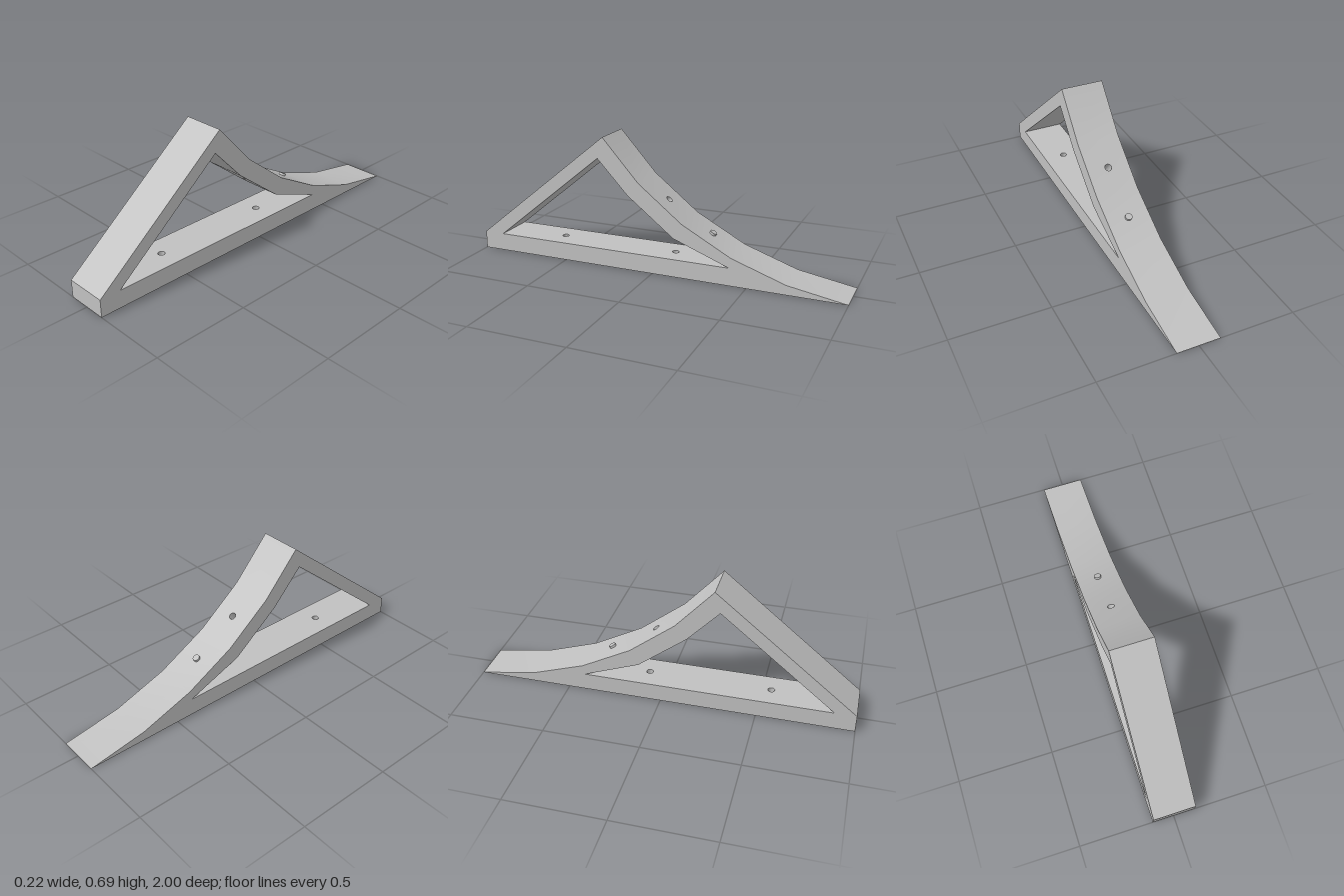
import * as THREE from 'three';
import { mergeGeometries, toCreasedNormals } from 'three/addons/utils/BufferGeometryUtils.js';

const HALF = 0.112, BORE = 0.018;

// Profile corners as [z, y]
const OUTER = [[1, 0], [1, 0.093], [0.27, 0.687], [0.075, 0.47], [-0.16, 0.285], [-0.42, 0.145], [-0.7, 0.05], [-1, 0]];
const INNER = [[0.89, 0.093], [-0.41, 0.093], [-0.115, 0.205], [0.135, 0.4], [0.3, 0.575]];

export function createModel() {
  const model = new THREE.Group();
  const grey = new THREE.MeshStandardMaterial({ color: 0xc0c0c0 });
  grey.name = 'plain grey';

  const add = (name, geometry) => {
    const mesh = new THREE.Mesh(geometry, grey);
    mesh.name = name;
    model.add(mesh);
    return mesh;
  };

  // Local frame on the strip from a to b: x across, y along, z outward
  const frame = (a, b, z = a[0]) => {
    const along = new THREE.Vector3(0, b[1] - a[1], b[0] - a[0]).normalize();
    const across = new THREE.Vector3(1, 0, 0);
    const out = across.clone().cross(along);
    const y = z === a[0] ? a[1] : a[1] + (b[1] - a[1]) * (z - a[0]) / (b[0] - a[0]);
    return new THREE.Matrix4().makeBasis(across, along, out).setPosition(0, y, z);
  };

  // Flat strip across the full width, with round openings at the given z positions
  const strip = (a, b, holes = []) => {
    const len = Math.hypot(b[0] - a[0], b[1] - a[1]);
    const shape = new THREE.Shape([[-HALF, 0], [HALF, 0], [HALF, len], [-HALF, len]].map(p => new THREE.Vector2(...p)));
    for (const z of holes) {
      const v = len * (z - a[0]) / (b[0] - a[0]);
      shape.holes.push(new THREE.Path().absarc(0, v, BORE, 0, Math.PI * 2, true));
    }
    return new THREE.ShapeGeometry(shape, 8).applyMatrix4(frame(a, b));
  };

  // Inward-facing bore wall sunk below a strip
  const bore = (name, a, b, z, depth) => {
    const wall = new THREE.CylinderGeometry(BORE, BORE, depth, 16, 1, true).scale(-1, 1, 1);
    wall.rotateX(Math.PI / 2).translate(0, 0, -depth / 2).applyMatrix4(frame(a, b, z));
    add(name, toCreasedNormals(wall, 0.6));
  };

  const strips = (name, points, holes = {}) => {
    const parts = points.slice(1).map((p, i) => strip(points[i], p, holes[i]));
    add(name, toCreasedNormals(mergeGeometries(parts), 0.4));
  };

  // Outer skin
  strips('frontFace', OUTER.slice(0, 2));
  strips('frontSlope', OUTER.slice(1, 3));
  strips('curvedRamp', OUTER.slice(2), { 1: [-0.05] });
  strips('underside', [OUTER[7], OUTER[0]]);

  // Faces of the triangular opening
  strips('baseTop', INNER.slice(0, 2), { 0: [-0.085, 0.56] });
  strips('rampUnderside', INNER.slice(1), { 1: [0.006] });
  strips('slopeUnderside', [INNER[4], INNER[0]]);

  // Side walls
  for (const side of [1, -1]) {
    const flat = list => list.map(([z, y]) => new THREE.Vector2(-side * z, y));
    const shape = new THREE.Shape(flat(OUTER));
    shape.holes.push(new THREE.Path(flat(INNER)));
    const wall = new THREE.ShapeGeometry(shape).rotateY(side * Math.PI / 2).translate(side * HALF, 0, 0);
    add(side > 0 ? 'leftSide' : 'rightSide', wall);
  }

  // Bore through the ramp and two blind holes in the base
  bore('rampBore', OUTER[3], OUTER[4], -0.05, 0.091);
  for (const z of [-0.085, 0.56]) {
    bore('baseHole', INNER[0], INNER[1], z, 0.07);
    add('baseHoleFloor', new THREE.CircleGeometry(BORE, 16).rotateX(-Math.PI / 2).translate(0, 0.023, z));
  }

  // Pin standing slightly proud of the ramp
  const pin = new THREE.CylinderGeometry(BORE, BORE, 0.04, 16).rotateX(Math.PI / 2).translate(0, 0, -0.008);
  add('rampPin', pin.applyMatrix4(frame(OUTER[4], OUTER[5], -0.285)));

  return model;
}
